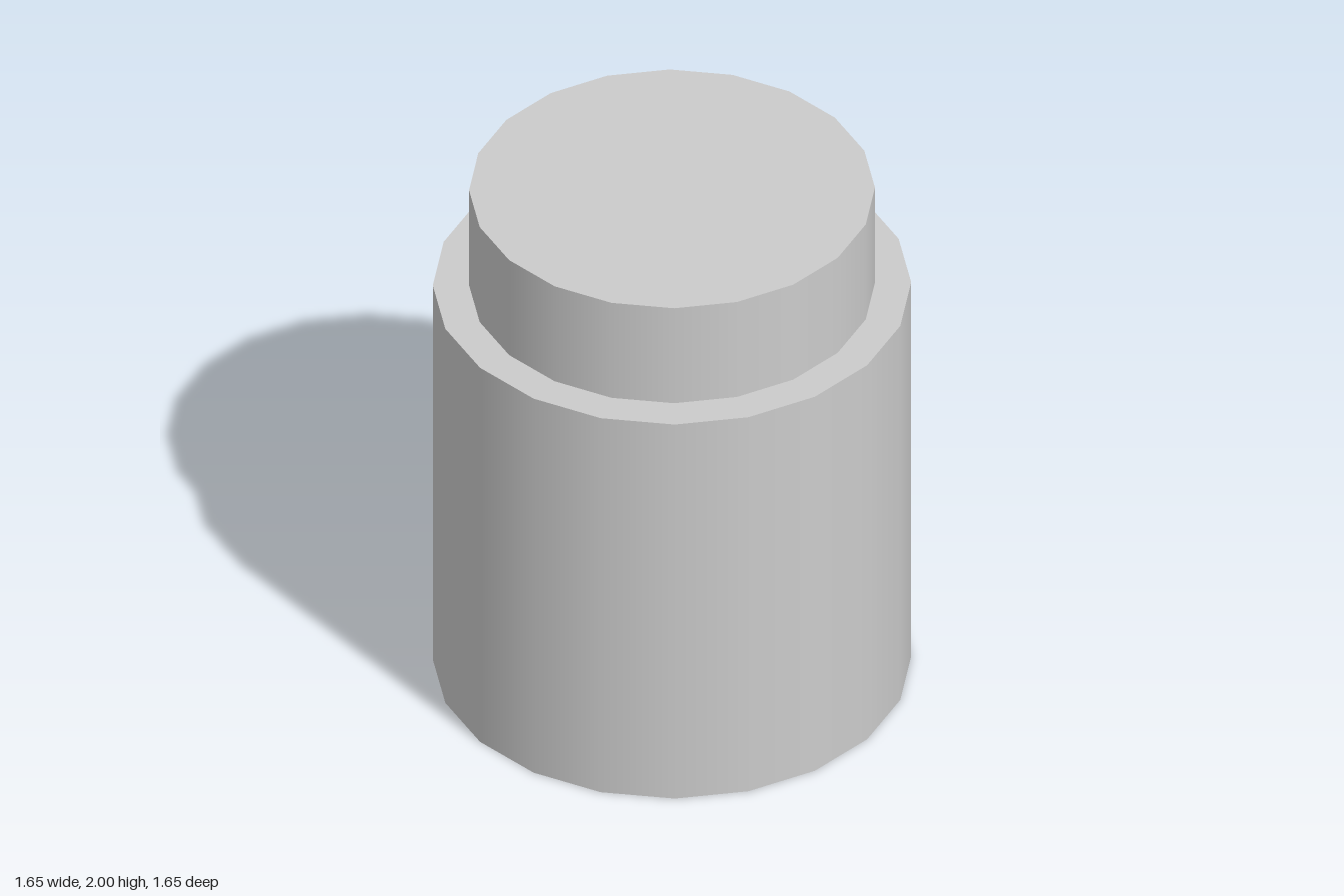
import * as THREE from 'three';

const SIDES = 20;

export function createModel() {
  const group = new THREE.Group();
  const material = new THREE.MeshStandardMaterial({ color: 0xcccccc });

  // Capped upright cylinder spanning two heights
  const addCylinder = (name, radius, bottom, top) => {
    const geometry = new THREE.CylinderGeometry(radius, radius, top - bottom, SIDES);
    const mesh = new THREE.Mesh(geometry, material);
    mesh.name = name;
    mesh.position.y = (bottom + top) / 2;
    group.add(mesh);
  };

  addCylinder('jarBody', 0.825, 0, 1.595);
  addCylinder('lid', 0.7, 1.595, 2);

  return group;
}
